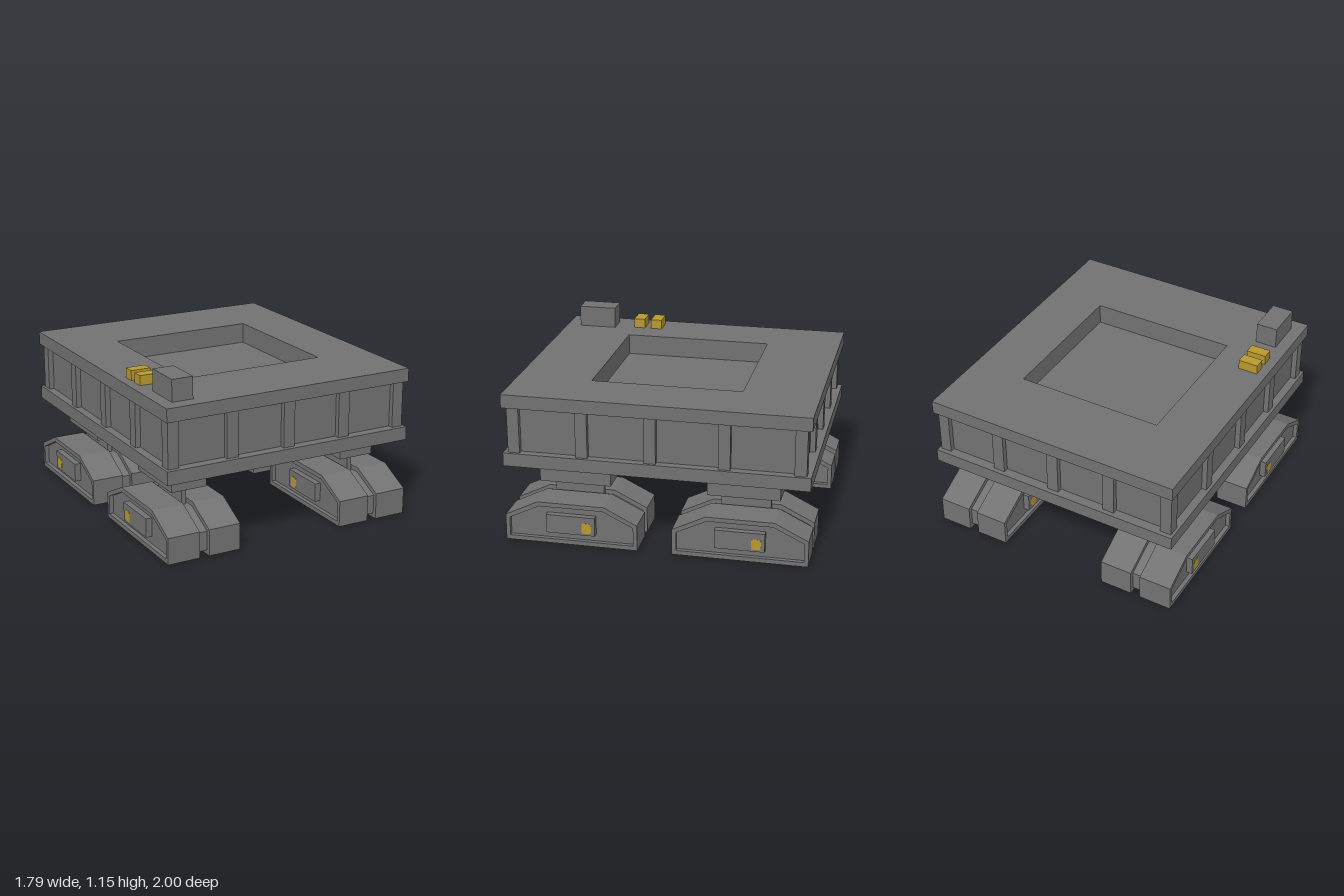
import * as THREE from 'three';

const grey = new THREE.MeshStandardMaterial({ color: 0x727272 });
grey.name = 'hull grey';
const yellow = new THREE.MeshStandardMaterial({ color: 0xb8982e });
yellow.name = 'signal yellow';

// Box given by its minimum and maximum on each axis
function box(parent, name, [x0, x1], [y0, y1], [z0, z1], material = grey) {
  const mesh = new THREE.Mesh(new THREE.BoxGeometry(x1 - x0, y1 - y0, z1 - z0), material);
  mesh.position.set((x0 + x1) / 2, (y0 + y1) / 2, (z0 + z1) / 2);
  mesh.name = name;
  parent.add(mesh);
  return mesh;
}

// Horizontal rectangular plate with a square opening
function frame(parent, name, halfX, halfZ, opening, y0, y1) {
  const rect = (a, b) => [[-a, -b], [a, -b], [a, b], [-a, b]].map(p => new THREE.Vector2(...p));
  const shape = new THREE.Shape(rect(halfX, halfZ));
  shape.holes.push(new THREE.Path(rect(opening, opening).reverse()));
  const geometry = new THREE.ExtrudeGeometry(shape, { depth: y1 - y0, bevelEnabled: false });
  geometry.rotateX(-Math.PI / 2);
  const mesh = new THREE.Mesh(geometry, grey);
  mesh.position.y = y0;
  mesh.name = name;
  parent.add(mesh);
}

// Track side profile: [half base length, bottom, shoulder height, top, half top length]
function trackPoints(half, bottom, shoulder, top, halfTop) {
  return [[-half, bottom], [half, bottom], [half, shoulder], [halfTop, top], [-halfTop, top], [-half, shoulder]]
    .map(p => new THREE.Vector2(...p));
}
const OUTER = [0.442, 0, 0.176, 0.285, 0.222];
const INNER = [0.415, 0.03, 0.157, 0.255, 0.214];

// Extrude a side profile across x, centred on x = 0
function sideways(parent, name, shape, width, x) {
  const geometry = new THREE.ExtrudeGeometry(shape, { depth: width, bevelEnabled: false });
  geometry.translate(0, 0, -width / 2);
  geometry.rotateY(-Math.PI / 2);
  const mesh = new THREE.Mesh(geometry, grey);
  mesh.position.x = x;
  mesh.name = name;
  parent.add(mesh);
}

function roundedSquare(width, height, r) {
  const w = width / 2, h = height / 2;
  const s = new THREE.Shape();
  s.moveTo(-w + r, -h);
  s.lineTo(w - r, -h).quadraticCurveTo(w, -h, w, -h + r);
  s.lineTo(w, h - r).quadraticCurveTo(w, h, w - r, h);
  s.lineTo(-w + r, h).quadraticCurveTo(-w, h, -w, h - r);
  s.lineTo(-w, -h + r).quadraticCurveTo(-w, -h, -w + r, -h);
  return s;
}

// Paired crawler tracks with hanger
function makeCrawler() {
  const crawler = new THREE.Group();
  crawler.name = 'crawler';
  box(crawler, 'mountBlock', [-0.124, 0.124], [0.38, 0.52], [-0.238, 0.238]);
  box(crawler, 'mountStrut', [-0.016, 0.016], [0.2, 0.38], [-0.163, 0.163]);

  // Body inside both belts, set back from the outer rims
  sideways(crawler, 'trackBody', new THREE.Shape(trackPoints(...INNER)), 0.45, 0);

  for (const side of [-1, 1]) {
    const belt = new THREE.Shape(trackPoints(...OUTER));
    belt.holes.push(new THREE.Path(trackPoints(...INNER).reverse()));
    sideways(crawler, 'trackBelt', belt, 0.221, side * 0.1435);

    // Side housing with a lamp at its rear end
    const cover = box(crawler, 'sideHousing', [-0.03, 0.03], [0.08, 0.207], [-0.163, 0.163]);
    cover.position.x = side * 0.237;
    const lamp = new THREE.Mesh(
      new THREE.ExtrudeGeometry(roundedSquare(0.064, 0.074, 0.018), { depth: 0.003, bevelEnabled: false, curveSegments: 4 }),
      yellow);
    lamp.rotation.y = side * Math.PI / 2;
    lamp.position.set(side * 0.266, 0.13, -0.107);
    lamp.name = 'sideLamp';
    crawler.add(lamp);
  }
  return crawler;
}

export function createModel() {
  const model = new THREE.Group();
  model.name = 'crawlerPlatform';

  // Platform decks and core around the sunken bay
  frame(model, 'upperDeck', 0.88, 1, 0.5, 0.92, 1.01);
  frame(model, 'platformCore', 0.825, 0.935, 0.5, 0.61, 0.92);
  box(model, 'bayFloor', [-0.5, 0.5], [0.61, 0.87], [-0.5, 0.5]);
  box(model, 'lowerDeck', [-0.88, 0.88], [0.52, 0.61], [-1, 1]);

  // Ribs around the core
  const ribs = new THREE.Group();
  ribs.name = 'ribs';
  model.add(ribs);
  for (const side of [-1, 1]) {
    for (const x of [-0.413, -0.004, 0.405]) {
      const rib = box(ribs, 'endRib', [x - 0.04, x + 0.04], [0.61, 0.92], [-0.03, 0.03]);
      rib.position.z = side * 0.94;
    }
    for (const z of [0.48, 0.033, -0.447]) {
      const rib = box(ribs, 'sideRib', [-0.03, 0.03], [0.61, 0.92], [z - 0.039, z + 0.039]);
      rib.position.x = side * 0.83;
    }
    for (const end of [-1, 1]) {
      const post = box(ribs, 'cornerPost', [-0.038, 0.038], [0.61, 0.92], [-0.039, 0.039]);
      post.position.x = side * 0.823;
      post.position.z = end * 0.931;
    }
  }

  // Deck equipment
  box(model, 'controlCabin', [-0.795, -0.65], [1.01, 1.154], [0.643, 0.902]);
  for (const z of [0.343, 0.467]) {
    box(model, 'deckCrate', [-0.816, -0.682], [1.01, 1.075], [z - 0.039, z + 0.039], yellow);
  }

  // Four crawlers
  for (const x of [-0.627, 0.627]) {
    for (const z of [-0.557, 0.557]) {
      const crawler = makeCrawler();
      crawler.position.set(x, 0, z);
      model.add(crawler);
    }
  }
  return model;
}
